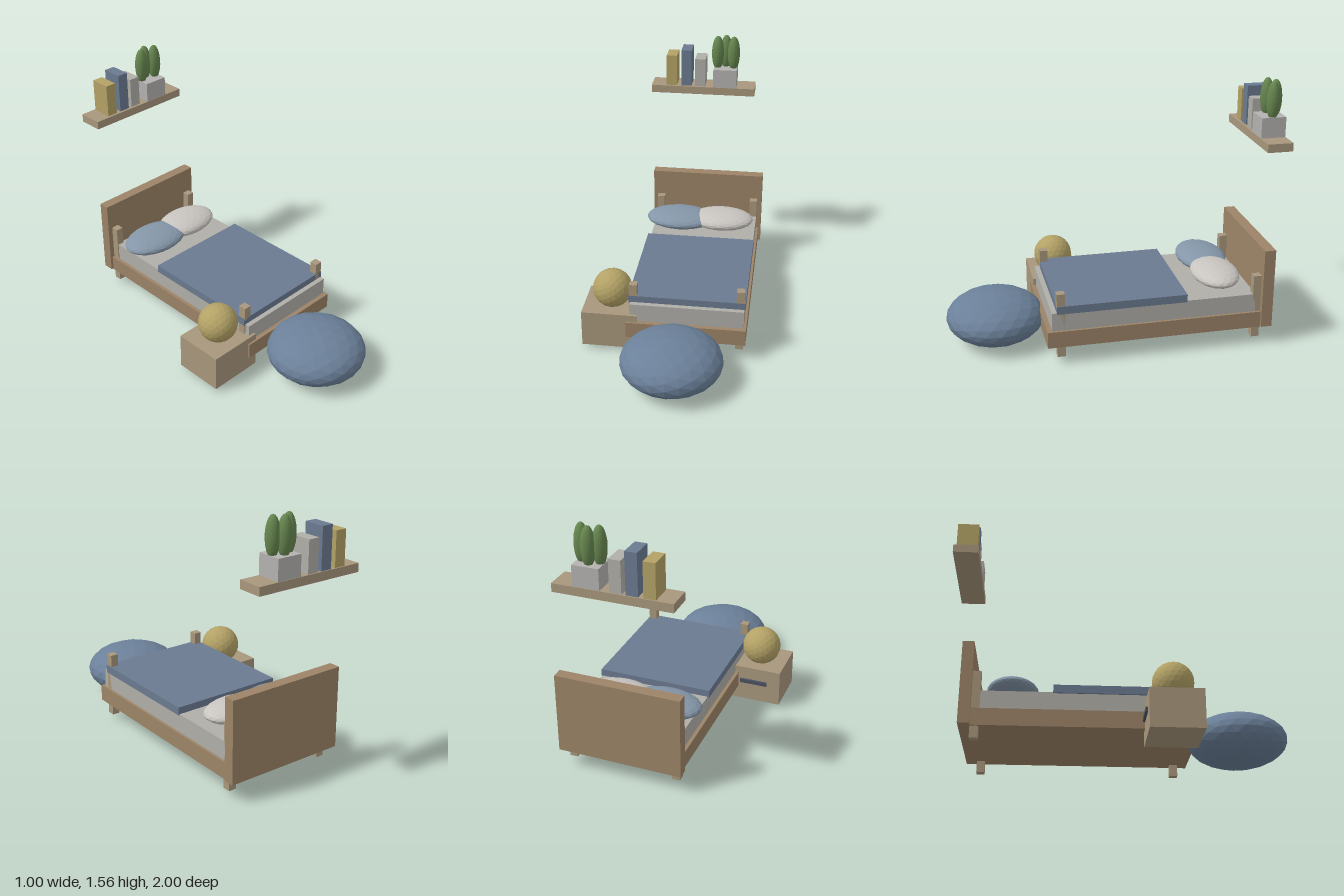
import * as THREE from 'three';

const paint = (color) => new THREE.MeshStandardMaterial({ color, flatShading: true });

export function createModel() {
  const model = new THREE.Group();
  const wood = paint(0x9c8468), paleWood = paint(0xa8977c), blue = paint(0x6b7a90);
  const linen = paint(0xb0aea8), yellow = paint(0xb3a266), green = paint(0x66864f);
  const pouf = paint(0x6b8099), paleBlue = paint(0x8496a8), white = paint(0xc8c4c0);
  const stone = paint(0xb4b2b0), dark = paint(0x4a5260);

  const add = (parent, name, geometry, material) => {
    const mesh = new THREE.Mesh(geometry, material);
    mesh.name = name;
    parent.add(mesh);
    return mesh;
  };
  // Box given by its limits along each axis
  const box = (parent, name, material, [x0, x1], [y0, y1], [z0, z1]) => {
    const mesh = add(parent, name, new THREE.BoxGeometry(x1 - x0, y1 - y0, z1 - z0), material);
    mesh.position.set((x0 + x1) / 2, (y0 + y1) / 2, (z0 + z1) / 2);
    return mesh;
  };
  // Faceted ellipsoid given by its centre and radii
  const blob = (parent, name, material, centre, radii) => {
    const geometry = new THREE.IcosahedronGeometry(1, 3).scale(...radii);
    geometry.computeVertexNormals();
    const mesh = add(parent, name, geometry, material);
    mesh.position.set(...centre);
    return mesh;
  };
  const group = (name) => {
    const g = new THREE.Group();
    g.name = name;
    model.add(g);
    return g;
  };

  // Bed
  const bed = group('bed');
  box(bed, 'bedFrame', wood, [-0.234, 0.482], [0.11, 0.21], [-0.838, 0.448]);
  box(bed, 'headboard', wood, [-0.25, 0.498], [0.116, 0.607], [-0.904, -0.837]);
  box(bed, 'mattress', linen, [-0.213, 0.467], [0.205, 0.322], [-0.805, 0.42]);
  box(bed, 'blanket', blue, [-0.223, 0.473], [0.316, 0.364], [-0.382, 0.39]);
  for (const x of [-0.195, 0.443]) {
    for (const z of [-0.813, 0.366]) {
      box(bed, 'bedPost', paleWood, [x - 0.024, x + 0.024], [0.041, 0.438], [z - 0.024, z + 0.024]);
    }
  }
  blob(bed, 'bluePillow', paleBlue, [-0.035, 0.379, -0.615], [0.227, 0.055, 0.151]);
  blob(bed, 'whitePillow', white, [0.241, 0.384, -0.619], [0.212, 0.057, 0.142]);

  // Nightstand with a round lamp
  const nightstand = group('nightstand');
  box(nightstand, 'cabinet', paleWood, [-0.503, -0.169], [0.025, 0.252], [0.133, 0.436]);
  box(nightstand, 'drawerHandle', dark, [-0.42, -0.247], [0.145, 0.17], [0.12, 0.135]);
  blob(nightstand, 'lampGlobe', yellow, [-0.336, 0.346, 0.283], [0.119, 0.119, 0.119]);

  // Floor cushion at the foot of the bed
  blob(model, 'floorCushion', pouf, [0.077, 0.153, 0.704], [0.299, 0.153, 0.296]);

  // Wall shelf with books and a potted cactus
  const shelf = group('wallShelf');
  box(shelf, 'shelfBoard', paleWood, [-0.262, 0.418], [1.18, 1.23], [-1, -0.848]);
  const books = [[-0.13, 1.432, yellow], [-0.033, 1.471, blue], [0.058, 1.415, linen]];
  for (const [x, top, material] of books) {
    box(shelf, 'book', material, [x - 0.034, x + 0.034], [1.23, top], [-0.993, -0.864]);
  }
  box(shelf, 'plantPot', stone, [0.145, 0.297], [1.23, 1.351], [-0.997, -0.85]);
  for (const [x, z] of [[0.168, -0.922], [0.22, -0.952], [0.272, -0.92]]) {
    blob(shelf, 'cactusStem', green, [x, 1.445, z], [0.04, 0.115, 0.04]);
  }
  return model;
}
